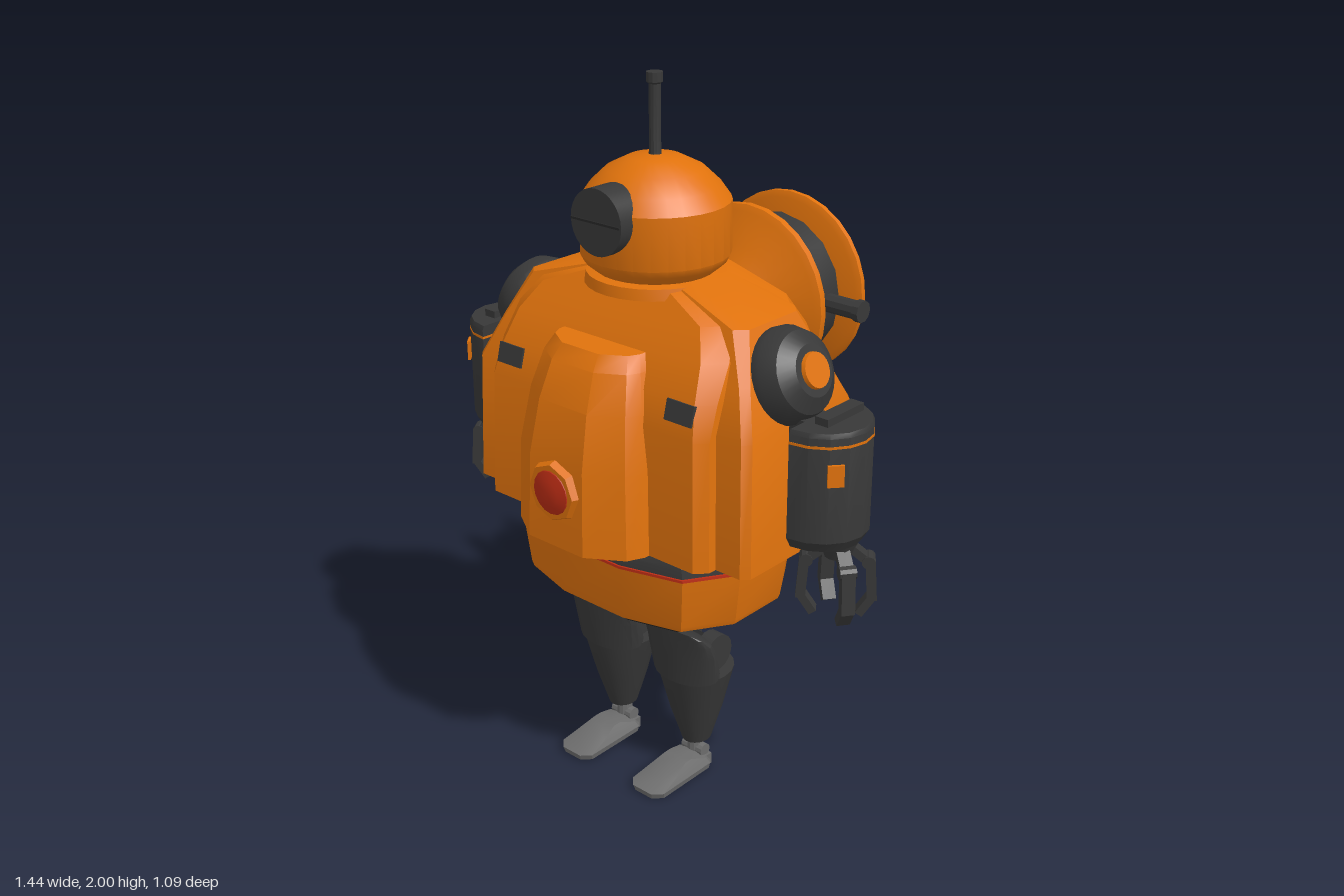
import * as THREE from 'three';
import { toCreasedNormals } from 'three/addons/utils/BufferGeometryUtils.js';

const mat = (name, color) => Object.assign(new THREE.MeshStandardMaterial({ color }), { name });
const V2 = (pts) => pts.map(([x, y]) => new THREE.Vector2(x, y));
const CZ = 0.12; // depth of the body axis

// Closed solid through rings of [x, y, z], ordered bottom to top and +x -> +z -> -x
function loft(rings) {
  const n = rings[0].length, pos = rings.flat(2), idx = [];
  rings.forEach((ring, r) => {
    if (r + 1 === rings.length) return;
    for (let i = 0; i < n; i++) {
      const j = (i + 1) % n, b = r * n, t = b + n;
      idx.push(b + i, t + i, b + j, b + j, t + i, t + j);
    }
  });
  [rings[0], rings[rings.length - 1]].forEach((ring, top) => {
    const c = pos.length / 3, o = top ? (rings.length - 1) * n : 0;
    for (let k = 0; k < 3; k++) pos.push(ring.reduce((s, p) => s + p[k], 0) / n);
    for (let i = 0; i < n; i++) {
      const j = (i + 1) % n;
      if (top) idx.push(c, o + j, o + i); else idx.push(c, o + i, o + j);
    }
  });
  const g = new THREE.BufferGeometry();
  g.setAttribute('position', new THREE.Float32BufferAttribute(pos, 3));
  g.setIndex(idx);
  return g;
}
// Rectangle ring with chamfered corners
const chamfered = (y, hx, zf, zb, c) => [[hx, zf - c], [hx - c, zf], [c - hx, zf], [-hx, zf - c],
  [-hx, zb + c], [c - hx, zb], [hx - c, zb], [hx, zb + c]].map(([x, z]) => [x, y, z]);
// Elliptical ring
const oval = (y, cx, hx, zf, zb, n = 20) => Array.from({ length: n }, (_, i) => {
  const a = (i / n) * Math.PI * 2;
  return [cx + hx * Math.cos(a), y, (zf + zb) / 2 + ((zf - zb) / 2) * Math.sin(a)];
});
// Rounded hip outline
const hip = (y, s) => [[0.385, 0.1], [0.3, 0.235], [0.12, 0.285], [-0.12, 0.285], [-0.3, 0.235], [-0.385, 0.1],
  [-0.385, -0.1], [-0.3, -0.235], [-0.12, -0.285], [0.12, -0.285], [0.3, -0.235], [0.385, -0.1]]
  .map(([x, z]) => [x * s, y, CZ + z * s]);
const box = (w, h, d, x, y, z) => new THREE.BoxGeometry(w, h, d).translate(x, y, z);
const cyl = (r1, r2, h, n = 20) => new THREE.CylinderGeometry(r1, r2, h, n);
const lathe = (pts, n = 28) => new THREE.LatheGeometry(V2(pts), n);

function mirrored(geo) {
  const g = geo.index ? geo.toNonIndexed() : geo.clone();
  g.scale(-1, 1, 1);
  const p = g.attributes.position, a = new THREE.Vector3(), b = new THREE.Vector3();
  for (let i = 0; i < p.count; i += 3) {
    a.fromBufferAttribute(p, i + 1);
    b.fromBufferAttribute(p, i + 2);
    p.setXYZ(i + 1, b.x, b.y, b.z);
    p.setXYZ(i + 2, a.x, a.y, a.z);
  }
  return g;
}

export function createModel() {
  const root = new THREE.Group();
  root.name = 'robot';
  const orange = mat('orange paint', 0xe0720c), dark = mat('dark metal', 0x383838);
  const grey = mat('grey metal', 0x6c6c6c), red = mat('red lamp', 0xba2c14), black = mat('black rubber', 0x282828);
  const add = (name, geo, m, crease = 0.5) => {
    const mesh = new THREE.Mesh(toCreasedNormals(geo, crease), m);
    mesh.name = name;
    root.add(mesh);
  };
  const pair = (name, geo, m, crease) => {
    add(name + 'Left', geo, m, crease);
    add(name + 'Right', mirrored(geo), m, crease);
  };

  // Torso: central hull, wider side shells, front and back bulges
  add('torsoHull', loft([[0.815, 0.4, 0.395, -0.165, 0.03], [1.17, 0.39, 0.385, -0.16, 0.03], [1.26, 0.385, 0.36, -0.145, 0.04],
    [1.35, 0.375, 0.315, -0.11, 0.05], [1.425, 0.34, 0.265, -0.08, 0.06], [1.49, 0.17, 0.22, -0.05, 0.06]].map((r) => chamfered(...r))), orange);
  add('sideShells', loft([[0.815, 0.5, 0.34, -0.12, 0.02], [1.18, 0.49, 0.33, -0.11, 0.02], [1.3, 0.44, 0.28, -0.06, 0.02],
    [1.425, 0.385, 0.23, -0.02, 0.03], [1.49, 0.17, 0.2, 0.0, 0.03]].map((r) => chamfered(...r))), orange);
  const bulge = (y, hx, edge, z) => [[hx, y, 0.2], [hx, y, edge], [hx * 0.9, y, edge + (z - edge) * 0.4], [hx * 0.45, y, z - (z - edge) * 0.08],
    [-hx * 0.45, y, z - (z - edge) * 0.08], [-hx * 0.9, y, edge + (z - edge) * 0.4], [-hx, y, edge], [-hx, y, 0.2]];
  add('chestPanel', loft([[0.815, 0.22, 0.41, 0.528], [1.05, 0.212, 0.405, 0.518], [1.2, 0.19, 0.385, 0.485],
    [1.3, 0.165, 0.36, 0.445], [1.34, 0.145, 0.34, 0.415]].map((r) => bulge(...r))), orange);
  add('backPanel', loft([[0.815, 0.23, 0.1, -0.285, 0.04], [1.15, 0.215, 0.1, -0.265, 0.04], [1.3, 0.19, 0.1, -0.215, 0.04],
    [1.4, 0.165, 0.1, -0.14, 0.04], [1.48, 0.14, 0.1, -0.06, 0.04]].map((r) => chamfered(...r))), orange);
  pair('chestVent', box(0.09, 0.055, 0.02, 0, 0, 0).rotateX(-0.25).translate(0.305, 1.232, 0.364), dark);

  // Chest lamp
  add('lampRing', cyl(0.078, 0.086, 0.02, 8).rotateX(Math.PI / 2).translate(0, 0.975, 0.52), orange);
  add('lamp', lathe([[0.068, 0], [0.06, 0.012], [0.035, 0.02], [0, 0.023]], 16).rotateX(Math.PI / 2).translate(0, 0.975, 0.52), red);

  // Waist and hips
  add('waistBand', loft([hip(0.745, 0.985), hip(0.78, 0.975), hip(0.82, 0.9)]), dark);
  add('waistStripe', loft([hip(0.745, 1.004), hip(0.752, 1.002)]), red);
  add('hips', loft([hip(0.585, 0.935), hip(0.6, 0.95), hip(0.747, 1)]), orange);
  add('hipUnderside', loft([hip(0.54, 0.62), hip(0.555, 0.8), hip(0.588, 0.93)]), black);
  const frame = new THREE.Shape(V2([[-0.085, -0.075], [0.085, -0.075], [0.085, 0.075], [-0.085, 0.075]]));
  frame.holes.push(new THREE.Path(V2([[-0.055, -0.045], [-0.055, 0.045], [0.055, 0.045], [0.055, -0.045]])));
  pair('hipSocketFrame', new THREE.ExtrudeGeometry(frame, { depth: 0.014, bevelEnabled: false })
    .rotateX(Math.PI / 2).translate(0.125, 0.545, CZ), dark);

  // Head, eye and antenna
  add('head', lathe([[0, 1.44], [0.19, 1.455], [0.185, 1.485], [0.16, 1.49], [0.19, 1.515], [0.2, 1.535], [0.2, 1.675], [0.172, 1.715],
    [0.13, 1.755], [0.07, 1.785], [0, 1.793]]).translate(0, 0, CZ), orange);
  add('eye', cyl(0.088, 0.088, 0.11, 28).rotateX(Math.PI / 2).translate(0, 1.655, 0.287), dark);
  add('eyeSlit', box(0.17, 0.006, 0.008, 0, 1.655, 0.342), black);
  add('antenna', lathe([[0, 1.78], [0.019, 1.78], [0.016, 1.8], [0.016, 1.97], [0.022, 1.975], [0.022, 2], [0, 2]], 12).translate(0, 0, CZ), dark);

  // Back drum held between two dishes (axis along z)
  const onBack = (pts, n) => lathe(pts, n).rotateX(-Math.PI / 2).translate(0, 1.31, 0);
  add('innerDish', onBack([[0, 0.12], [0.1, 0.17], [0.16, 0.215], [0.25, 0.245], [0.268, 0.255], [0.268, 0.275], [0.25, 0.286], [0, 0.286]]), orange);
  add('drum', onBack([[0, 0.28], [0.05, 0.28], [0.13, 0.292], [0.215, 0.318], [0.215, 0.408], [0.13, 0.436], [0, 0.445]], 16), dark);
  add('outerDish', onBack([[0, 0.436], [0.25, 0.436], [0.268, 0.445], [0.268, 0.46], [0.25, 0.468], [0.17, 0.497], [0.11, 0.541], [0, 0.543]]), orange);
  add('drumBarrel', cyl(0.027, 0.027, 0.15, 10).rotateZ(Math.PI / 2).translate(0.255, 1.31, -0.365), dark);
  add('drumMuzzle', cyl(0.032, 0.032, 0.02, 10).rotateZ(Math.PI / 2).translate(0.32, 1.31, -0.365), dark);
  add('drumStem', box(0.055, 0.14, 0.055, 0, 1.05, -0.36), dark);
  add('drumFoot', box(0.13, 0.015, 0.1, 0, 0.982, -0.36), dark);

  // Shoulders, tilted outward and up
  const shoulder = (g) => g.rotateZ(-1.17).translate(0.455, 1.3, CZ);
  pair('shoulder', shoulder(lathe([[0, -0.08], [0.11, -0.07], [0.128, -0.03], [0.128, 0.01], [0.108, 0.052], [0.068, 0.08], [0, 0.08]])), dark);
  pair('shoulderCap', shoulder(cyl(0.046, 0.05, 0.02).translate(0, 0.081, 0)), orange);
  pair('elbowPlate', box(0.07, 0.2, 0.09, 0.525, 1.11, CZ), dark);
  pair('elbowJoint', cyl(0.05, 0.05, 0.09, 16).rotateZ(Math.PI / 2).translate(0.525, 1.08, CZ), dark);

  // Half-round forearms
  const dee = (y, s) => Array.from({ length: 9 }, (_, i) => {
    const a = (i / 8 - 0.5) * Math.PI;
    return [0.555 + 0.138 * s * Math.cos(a), y, CZ + 0.13 * s * Math.sin(a)];
  });
  pair('forearm', loft([dee(0.895, 0.87), dee(0.925, 1), dee(1.21, 1), dee(1.222, 0.96)]), dark);
  pair('forearmStripe', loft([dee(1.183, 1.008), dee(1.19, 1.008)]), orange);
  pair('forearmHandle', box(0.04, 0.025, 0.15, 0.6, 1.23, 0.105), dark);
  pair('forearmBadge', box(0.042, 0.058, 0.008, 0, 0, 0).rotateY(0.85).translate(0.668, 1.115, 0.205), orange);

  // Hands: wrist plus four jointed claws
  pair('wrist', cyl(0.055, 0.035, 0.05, 12).translate(0.622, 0.875, CZ), dark);
  const segment = (x1, y1, x2, y2, w) => {
    const dx = x2 - x1, dy = y2 - y1;
    return new THREE.BoxGeometry(w, Math.hypot(dx, dy) + 0.012, 0.036).rotateZ(Math.atan2(-dx, dy)).translate((x1 + x2) / 2, (y1 + y2) / 2, 0);
  };
  for (let i = 0; i < 4; i++) {
    const claw = (g) => g.rotateY(Math.PI * (0.2 + [0, 0.6, 1, 1.6][i])).translate(0.622, 0, CZ);
    pair('clawUpper' + i, claw(segment(0.03, 0.88, 0.085, 0.835, 0.022)), dark);
    pair('clawKnuckle' + i, claw(cyl(0.018, 0.018, 0.044, 10).rotateX(Math.PI / 2).translate(0.08, 0.84, 0)), dark);
    pair('clawMiddle' + i, claw(segment(0.085, 0.835, 0.092, 0.735, 0.026)), dark);
    pair('clawTip' + i, claw(segment(0.09, 0.735, 0.062, 0.692, 0.022)), dark);
  }

  // Legs: tapered shin with a raised knee guard and knee joint
  const LX = 0.147;
  pair('shin', loft([[0.09, 0.04, 0.165, 0.075], [0.2, 0.075, 0.2, 0.045], [0.335, 0.108, 0.236, 0.012]].map(([y, hx, f, b]) => oval(y, LX, hx, f, b))), dark);
  pair('kneeGuard', loft([[0.33, 0.107, 0.236, 0.09], [0.42, 0.119, 0.241, 0.125], [0.465, 0.118, 0.242, 0.16],
    [0.49, 0.104, 0.242, 0.2], [0.502, 0.075, 0.242, 0.228]].map(([y, hx, f, b]) => oval(y, LX, hx, f, b))), dark);
  for (const dx of [-0.055, 0.055]) {
    pair('kneeDisc', cyl(0.055, 0.055, 0.045, 18).rotateZ(Math.PI / 2).translate(LX + dx, 0.395, 0.115), dark);
  }
  pair('kneePin', cyl(0.035, 0.035, 0.13, 14).rotateZ(Math.PI / 2).translate(LX, 0.395, 0.115), black);

  // Ankles and feet
  pair('ankle', cyl(0.022, 0.026, 0.07, 12).translate(LX - 0.005, 0.065, 0.12), grey);
  pair('anklePin', cyl(0.02, 0.02, 0.075, 12).rotateZ(Math.PI / 2).translate(LX - 0.005, 0.05, 0.12), grey);
  const sole = (y, hx, f, b) => chamfered(y, hx, f, b, 0.025).map(([x, , z]) => [x + 0.142, y, z]);
  pair('foot', loft([sole(0, 0.056, 0.345, 0.1), sole(0.018, 0.06, 0.35, 0.098), sole(0.034, 0.052, 0.29, 0.105), sole(0.054, 0.04, 0.235, 0.16)]), grey);
  pair('heel', box(0.09, 0.035, 0.07, 0.142, 0.0175, 0.135), grey);
  return root;
}
